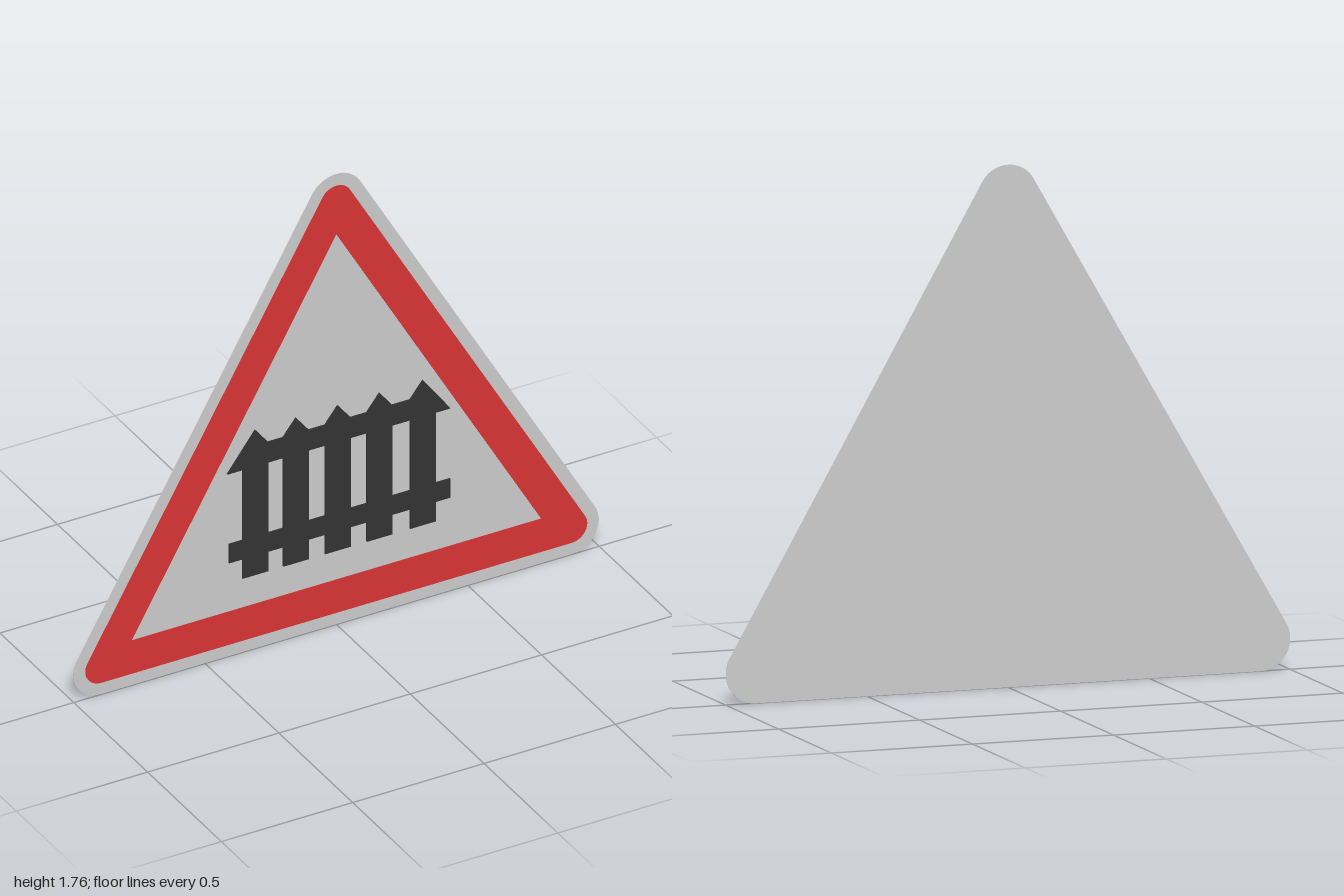
import * as THREE from 'three';

const GREY = 0xcccccc, RED = 0xd83333, BLACK = 0x333333;

// Equilateral triangle with rounded corners around three fixed centres
function roundedTriangle(r) {
  const cx = 0.895, cy = 0.105, top = cy + cx * Math.sqrt(3);
  const s = new THREE.Shape();
  const a = Math.PI / 6;
  s.absarc(cx, cy, r, -3 * a, a, false);
  s.absarc(0, top, r, a, 5 * a, false);
  s.absarc(-cx, cy, r, 5 * a, 9 * a, false);
  s.closePath();
  return s;
}

const polygon = (pts) => new THREE.Shape(pts.map(([x, y]) => new THREE.Vector2(x, y)));
const rect = (x0, x1, y0, y1) => polygon([[x0, y0], [x1, y0], [x1, y1], [x0, y1]]);

// Thin flat layer between two depths
function layer(name, shape, z0, z1, color) {
  const geo = new THREE.ExtrudeGeometry(shape, { depth: z1 - z0, bevelEnabled: false, curveSegments: 16 });
  geo.translate(0, 0, z0);
  const mesh = new THREE.Mesh(geo, new THREE.MeshStandardMaterial({ color }));
  mesh.name = name;
  return mesh;
}

export function createModel() {
  const sign = new THREE.Group();
  sign.name = 'warningSign';

  // Backing plate
  sign.add(layer('plate', roundedTriangle(0.105), -0.004, -0.002, GREY));

  // Red border: rounded outside, sharp inside
  const border = roundedTriangle(0.06);
  border.holes.push(new THREE.Path([[-0.78, 0.175], [0, 1.526], [0.78, 0.175]].map(([x, y]) => new THREE.Vector2(x, y))));
  sign.add(layer('border', border, -0.002, 0, RED));

  // Fence pictogram
  const fence = new THREE.Group();
  fence.name = 'fence';
  const centres = [-0.31, -0.155, 0.004, 0.163, 0.328];
  const half = 0.049, railTop = 0.795, railBottom = 0.715, tip = 0.857;

  // Upper rail with a pointed head over each picket and slanted ends
  const outline = [[0.433, railBottom]];
  [...centres].reverse().forEach((x, i) => {
    if (i > 0) outline.push([x + half, railTop]);
    outline.push([x, tip]);
    if (i < centres.length - 1) outline.push([x - half, railTop]);
  });
  outline.push([-0.417, railBottom]);
  fence.add(layer('upperRail', polygon(outline), -0.002, 0.004, BLACK));

  // Lower rail
  fence.add(layer('lowerRail', rect(-0.41, 0.432, 0.366, 0.44), -0.002, 0.004, BLACK));

  // Pickets
  for (const x of centres) {
    fence.add(layer('picket', rect(x - half, x + half, 0.29, railBottom), -0.002, 0.004, BLACK));
  }
  sign.add(fence);
  return sign;
}
